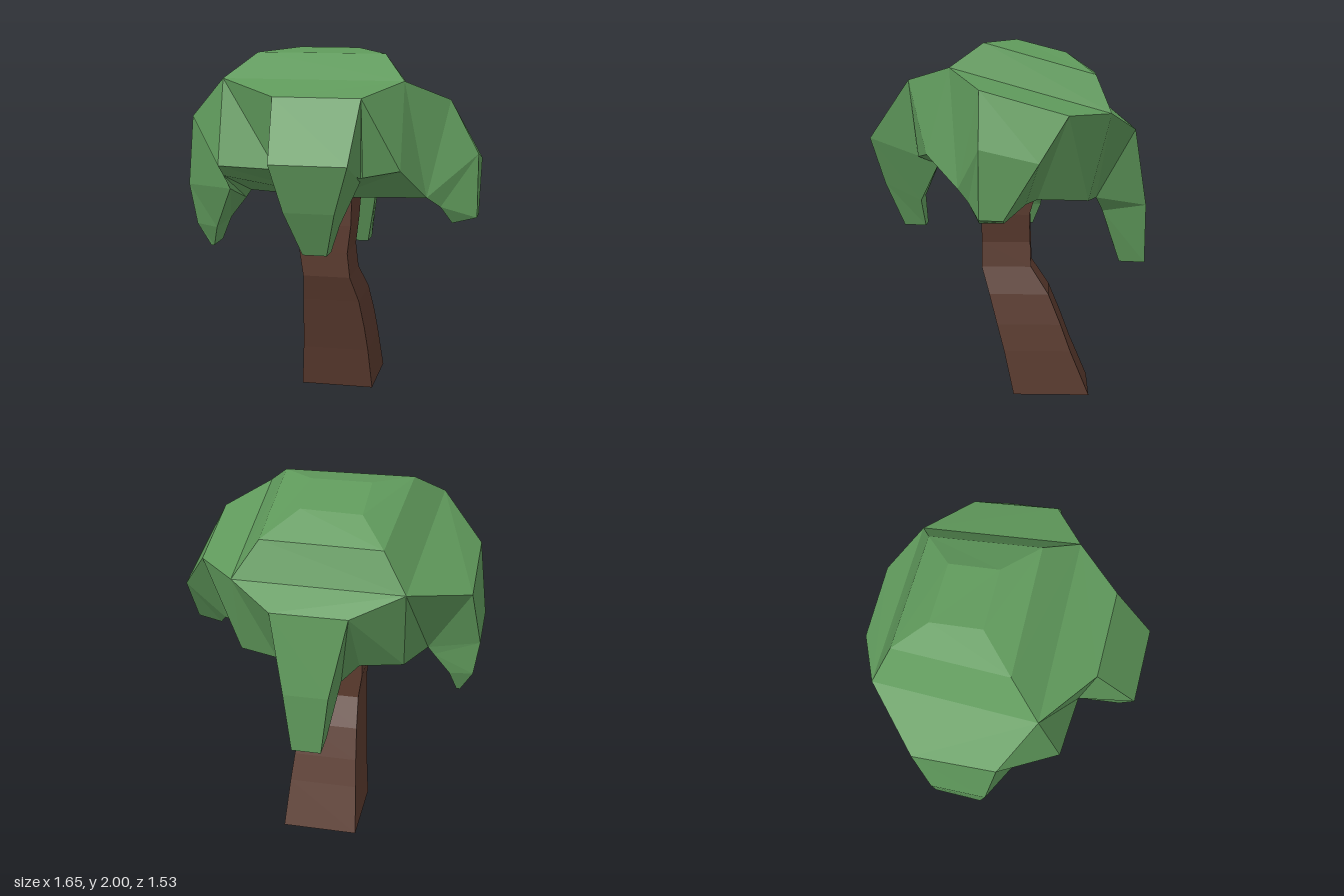
import * as THREE from 'three';

const green = new THREE.MeshStandardMaterial({ color: 0x5f995b, flatShading: true });
const brown = new THREE.MeshStandardMaterial({ color: 0x5a3a2e, flatShading: true });

// Collects quads and triangles (corners counter-clockwise from outside)
class Faces {
  constructor() { this.points = []; }
  tri(a, b, c) { this.points.push(...a, ...b, ...c); }
  quad(a, b, c, d) { this.tri(a, b, c); this.tri(a, c, d); }
  // Wall between two closed rings, ordered counter-clockwise from above
  loft(upper, lower, skip = () => false) {
    const n = upper.length;
    for (let i = 0; i < n; i++) {
      const j = (i + 1) % n;
      if (!skip(i)) this.quad(lower[j], upper[j], upper[i], lower[i]);
    }
  }
  mesh(name, material) {
    const geometry = new THREE.BufferGeometry();
    geometry.setAttribute('position', new THREE.Float32BufferAttribute(this.points, 3));
    geometry.computeVertexNormals();
    const mesh = new THREE.Mesh(geometry, material);
    mesh.name = name;
    return mesh;
  }
}

// Bent four-sided trunk; each row is y, xMin, xMax, zMin, zMax
function buildTrunk() {
  const rings = [
    [0, -0.2, 0.222, -0.45, -0.025],
    [0.25, -0.18, 0.205, -0.345, 0.03],
    [0.4, -0.17, 0.19, -0.29, 0.07],
    [0.57, -0.16, 0.165, -0.22, 0.115],
    [0.72, -0.15, 0.12, -0.12, 0.16],
    [0.86, -0.17, 0.105, -0.115, 0.16],
    [1.02, -0.17, 0.125, -0.11, 0.16],
    [1.24, -0.14, 0.13, -0.18, 0.15],
  ].map(([y, x0, x1, z0, z1]) => [[x1, y, z1], [x1, y, z0], [x0, y, z0], [x0, y, z1]]);
  const faces = new Faces();
  for (let i = 1; i < rings.length; i++) faces.loft(rings[i], rings[i - 1]);
  const [a, b, c, d] = rings[0];
  faces.quad(d, c, b, a);
  const top = rings[rings.length - 1];
  faces.quad(...top);
  return faces.mesh('trunk', brown);
}

// Drooping lobes: sections from root to tip, each as
// [outer start, outer end, inner end, inner start], counter-clockwise from above
const lobes = {
  right: [
    [[0.67, 1.74, 0.14], [0.67, 1.61, -0.32], [0.55, 1.165, -0.16], [0.56, 1.22, 0.26]],
    [[0.825, 1.45, 0.135], [0.825, 1.38, -0.17], [0.63, 1.15, -0.1], [0.63, 1.16, 0.2]],
    [[0.825, 1.095, 0.135], [0.825, 1.09, 0.01], [0.69, 1.06, 0.01], [0.69, 1.06, 0.14]],
  ],
  back: [
    [[0.21, 1.51, -0.695], [-0.2, 1.51, -0.695], [-0.22, 1.135, -0.48], [0.23, 1.135, -0.48]],
    [[0.13, 1.08, -0.765], [-0.11, 1.08, -0.765], [-0.13, 1.05, -0.52], [0.15, 1.05, -0.52]],
    [[0.09, 0.745, -0.765], [-0.07, 0.745, -0.765], [-0.07, 0.75, -0.62], [0.09, 0.75, -0.62]],
  ],
  left: [
    [[-0.78, 1.51, -0.28], [-0.78, 1.62, 0.17], [-0.55, 1.32, 0.36], [-0.55, 1.135, -0.2]],
    [[-0.83, 1.18, -0.18], [-0.83, 1.22, 0.12], [-0.54, 1.23, 0.27], [-0.58, 1.09, -0.19]],
    [[-0.8, 0.98, -0.17], [-0.8, 0.98, 0.08], [-0.67, 0.97, 0.12], [-0.67, 0.97, -0.17]],
    [[-0.73, 0.845, -0.12], [-0.73, 0.845, 0.05], [-0.71, 0.845, 0.05], [-0.71, 0.845, -0.12]],
  ],
  front: [
    [[-0.22, 1.78, 0.55], [0.25, 1.78, 0.55], [0.25, 1.36, 0.5], [-0.22, 1.385, 0.48]],
    [[-0.19, 1.46, 0.77], [0.22, 1.46, 0.77], [0.22, 1.32, 0.39], [-0.19, 1.34, 0.4]],
    [[-0.13, 1.2, 0.7], [0.14, 1.2, 0.7], [0.13, 1.1, 0.5], [-0.12, 1.1, 0.5]],
    [[-0.05, 0.955, 0.6], [0.08, 0.955, 0.6], [0.08, 0.95, 0.48], [-0.05, 0.95, 0.48]],
  ],
};

function buildLobe(name, sections) {
  const faces = new Faces();
  for (let i = 1; i < sections.length; i++) faces.loft(sections[i - 1], sections[i]);
  const [a, b, c, d] = sections[sections.length - 1];
  faces.quad(d, c, b, a);
  return faces.mesh(name + 'Lobe', green);
}

function buildCrown() {
  const faces = new Faces();
  // Nested four-corner rings: front right, back right, back left, front left
  const peak = [[0.13, 2, -0.04], [0.13, 1.93, -0.31], [-0.2, 1.925, -0.32], [-0.2, 2, -0.04]];
  const cap = [[0.31, 1.98, 0.135], [0.31, 1.81, -0.47], [-0.34, 1.81, -0.49], [-0.4, 1.98, 0.15]];
  const shoulder = [[0.44, 1.85, 0.31], [0.445, 1.61, -0.55], [-0.47, 1.61, -0.57], [-0.55, 1.85, 0.325]];
  const hem = [[0.44, 1.39, 0.435], [0.44, 1.145, -0.43], [-0.45, 1.14, -0.43], [-0.55, 1.39, 0.455]];
  faces.quad(...peak);
  faces.loft(peak, cap);
  faces.loft(cap, shoulder);

  // Slopes from the shoulder to each lobe, then the side walls between lobes
  const upper = [], lower = [];
  Object.values(lobes).forEach(([root], i) => {
    const [outerA, outerB, innerB, innerA] = root;
    faces.quad(outerA, outerB, shoulder[(i + 1) % 4], shoulder[i]);
    upper.push(shoulder[i], outerA, outerB);
    lower.push(hem[i], innerA, innerB);
  });
  faces.loft(upper, lower, (i) => i % 3 === 1);

  // Underside, dipping to meet the trunk
  const centre = [0, 1.16, 0.05];
  lower.forEach((p, i) => faces.tri(centre, lower[(i + 1) % lower.length], p));
  return faces.mesh('crown', green);
}

export function createModel() {
  const model = new THREE.Group();
  model.name = 'tree';
  const foliage = new THREE.Group();
  foliage.name = 'foliage';
  foliage.add(buildCrown());
  for (const [name, sections] of Object.entries(lobes)) foliage.add(buildLobe(name, sections));
  model.add(buildTrunk(), foliage);
  return model;
}
